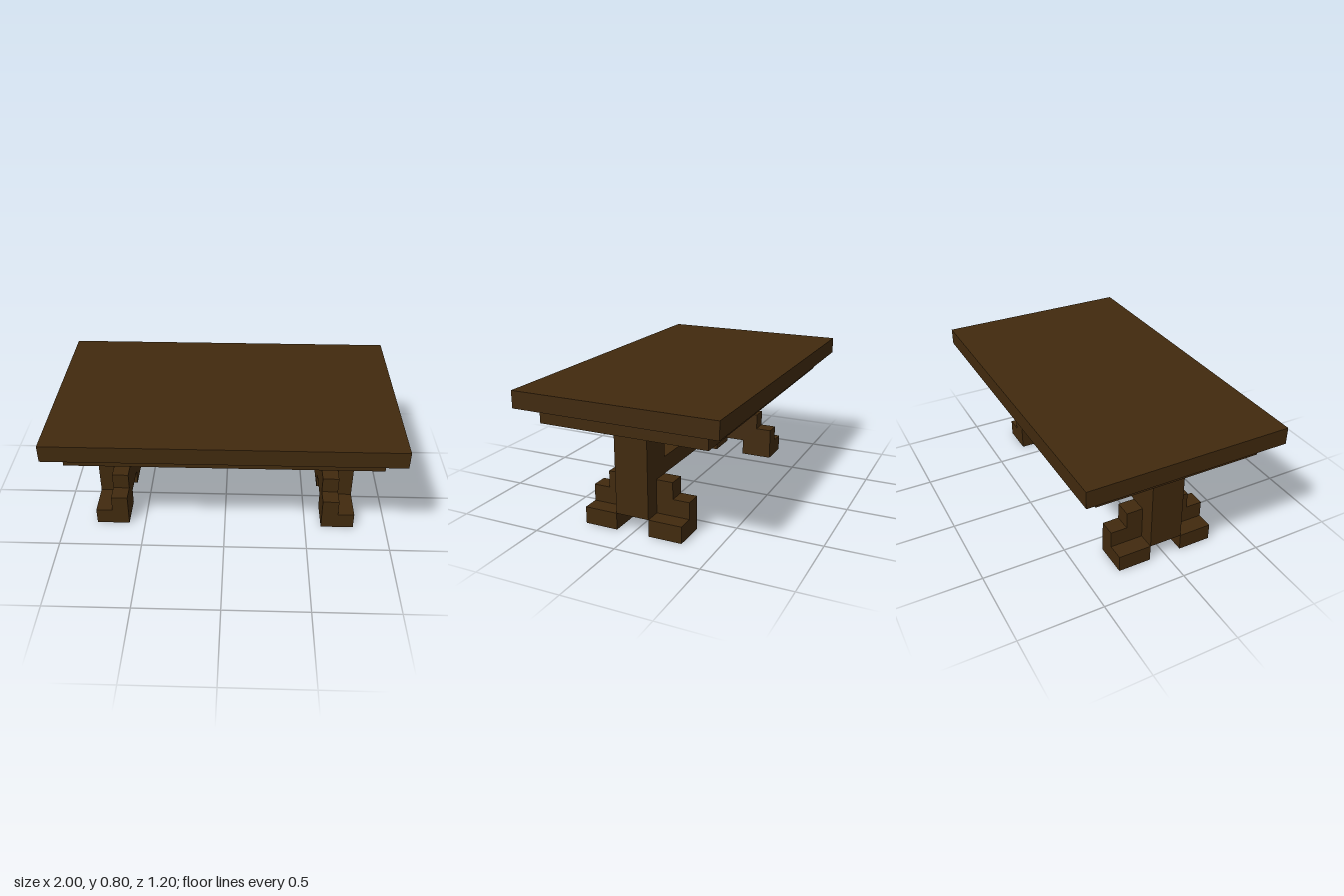
import * as THREE from 'three';

export function createModel() {
  const table = new THREE.Group();
  table.name = 'trestleTable';
  const darkWood = new THREE.MeshStandardMaterial({ color: 0x412a0e });
  darkWood.name = 'darkWood';

  const add = (parent, name, geometry) => {
    const mesh = new THREE.Mesh(geometry, darkWood);
    mesh.name = name;
    parent.add(mesh);
    return mesh;
  };

  // Box given by its lower and upper corners
  const box = (parent, name, [x0, y0, z0], [x1, y1, z1]) =>
    add(parent, name, new THREE.BoxGeometry(x1 - x0, y1 - y0, z1 - z0))
      .position.set((x0 + x1) / 2, (y0 + y1) / 2, (z0 + z1) / 2);

  // Rectangle outline centred on the origin
  const rectangle = (Type, w, d) => new Type([
    new THREE.Vector2(-w, -d), new THREE.Vector2(w, -d),
    new THREE.Vector2(w, d), new THREE.Vector2(-w, d),
  ]);

  // Table top
  box(table, 'tableTop', [-1, 0.7, -0.6], [1, 0.8, 0.6]);

  // Open apron frame under the top
  const frame = rectangle(THREE.Shape, 0.9, 0.5);
  frame.holes.push(rectangle(THREE.Path, 0.8, 0.4));
  const apron = new THREE.ExtrudeGeometry(frame, { depth: 0.1, bevelEnabled: false });
  apron.rotateX(-Math.PI / 2);
  add(table, 'apron', apron).position.y = 0.6;

  // Stretcher between the two posts
  box(table, 'stretcher', [-0.6, 0.3, -0.1], [0.6, 0.4, 0.1]);

  // Stepped profile of the inner half of a foot, drawn in z and y
  const steps = new THREE.Shape([
    [0.1, 0.1], [0.3, 0.1], [0.3, 0.2], [0.2, 0.2], [0.2, 0.3], [0.1, 0.3],
  ].map(([z, y]) => new THREE.Vector2(z, y)));

  for (const side of [1, -1]) {
    const trestle = new THREE.Group();
    trestle.name = side > 0 ? 'leftTrestle' : 'rightTrestle';
    table.add(trestle);
    const [x0, x1] = side > 0 ? [0.6, 0.8] : [-0.8, -0.6];
    box(trestle, 'post', [x0, 0.1, -0.1], [x1, 0.7, 0.1]);

    for (const end of [1, -1]) {
      const foot = new THREE.Group();
      foot.name = end > 0 ? 'frontFoot' : 'backFoot';
      trestle.add(foot);
      const [z0, z1] = end > 0 ? [0.1, 0.3] : [-0.3, -0.1];
      box(foot, 'footBase', [x0, 0, z0], [x1, 0.1, z1]);

      // Stepped bracket along the inner side of the post
      const bracket = new THREE.ExtrudeGeometry(steps, { depth: 0.1, bevelEnabled: false });
      bracket.translate(0, 0, -0.05);
      bracket.rotateY(-end * Math.PI / 2);
      add(foot, 'footBracket', bracket).position.x = side * 0.65;
    }
  }

  return table;
}
